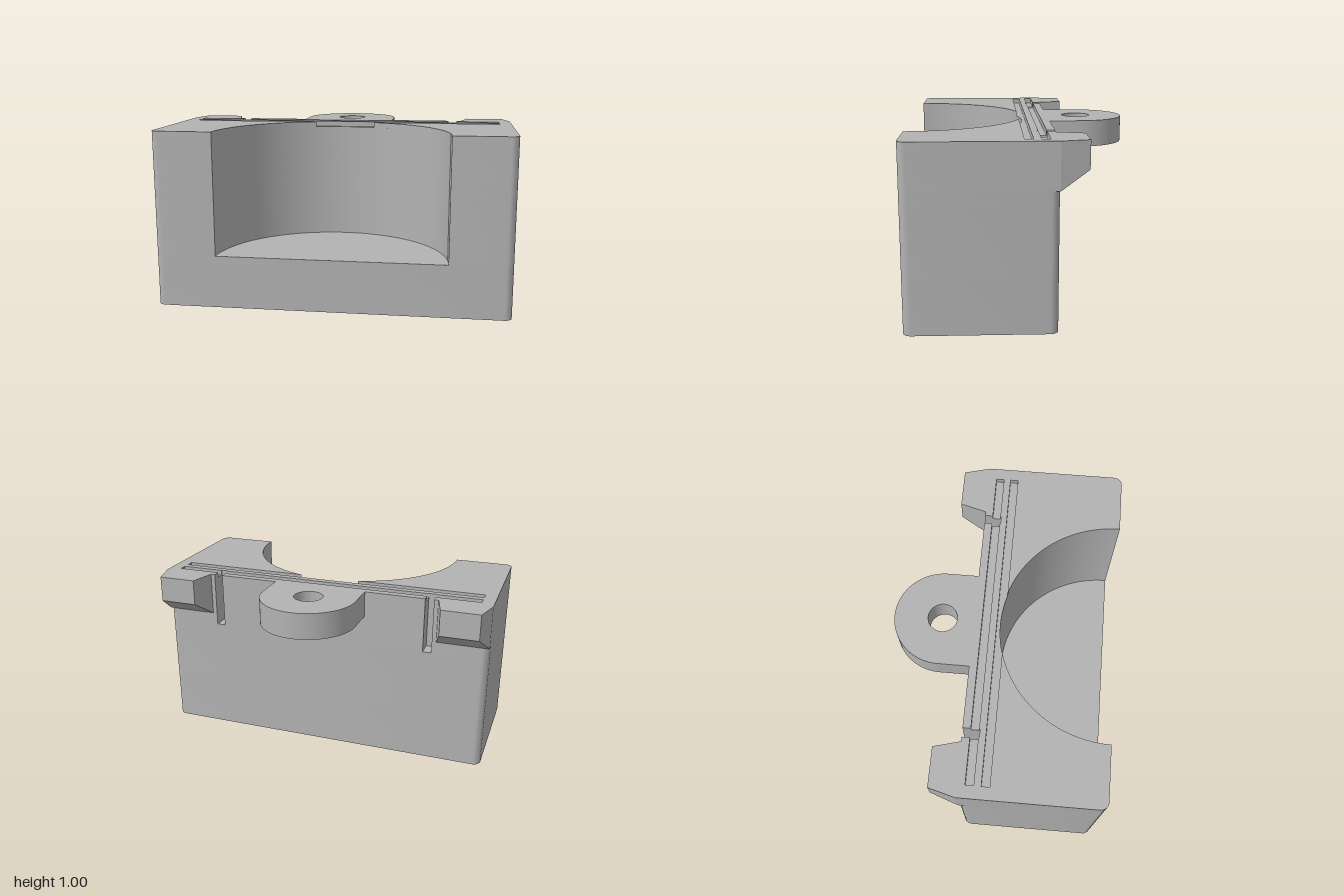
import * as THREE from 'three';
import { toCreasedNormals } from 'three/addons/utils/BufferGeometryUtils.js';

const BACK = -0.175, FRONT = 0.625, R = 0.045, POCKET_R = 0.65;

// Points along an arc in the x/z plan
function arc(cx, cz, r, a0, a1, n) {
  return Array.from({ length: n + 1 }, (_, i) => {
    const a = a0 + (a1 - a0) * i / n;
    return [cx + r * Math.cos(a), cz + r * Math.sin(a)];
  });
}

// Extrude a plan shape (x, -z) from y0 up to y1
function extrudeUp(shape, y0, y1, curveSegments = 48) {
  const g = new THREE.ExtrudeGeometry(shape, { depth: y1 - y0, bevelEnabled: false, curveSegments });
  g.rotateX(-Math.PI / 2);
  g.translate(0, y0, 0);
  return toCreasedNormals(g, 0.5);
}

// Mirror the +x half of a plan outline into a closed shape
function mirroredShape(half) {
  const other = half.filter(p => p[0] > 1e-6).map(([x, z]) => [-x, z]).reverse();
  return new THREE.Shape([...half, ...other].map(([x, z]) => new THREE.Vector2(x, -z)));
}

// Half plan of the block at one level
function blockHalf({ pocket, slots, squareBack, grooves }) {
  const pts = [];
  if (grooves) {
    // front groove, open into the pocket
    pts.push([0, -0.045], [0.93, -0.045], [0.93, 0]);
    pts.push(...arc(0, FRONT, POCKET_R, -Math.acos(0) + Math.acos(FRONT / POCKET_R), 0, 40));
  } else if (pocket) {
    pts.push(...arc(0, FRONT, POCKET_R, -Math.PI / 2, 0, 48));
  } else {
    pts.push([0, FRONT]);
  }
  pts.push(...arc(1 - R, FRONT - R, R, Math.PI / 2, 0, 8));
  if (squareBack) pts.push([1, BACK]);
  else pts.push(...arc(1 - R, BACK + R, R, 0, -Math.PI / 2, 8));
  if (slots) pts.push([0.675, BACK]);
  if (grooves) pts.push([0.675, -0.13], [0.93, -0.13], [0.93, -0.085], [0.675, -0.085]);
  if (slots) pts.push([0.675, -0.08], [0.625, -0.08]);
  if (grooves) pts.push([0.625, -0.085], [0, -0.085]);
  else {
    if (slots) pts.push([0.625, BACK]);
    pts.push([0, BACK]);
  }
  return pts;
}

export function createModel() {
  const model = new THREE.Group();
  model.name = 'mountingBlock';
  const grey = new THREE.MeshStandardMaterial({ color: 0xb3b3b3 });
  grey.name = 'grey';
  const add = (name, geometry, parent = model) => {
    const m = new THREE.Mesh(geometry, grey);
    m.name = name;
    parent.add(m);
    return m;
  };

  // Block, stacked by level: base, pocket, slots, square corners, grooves
  const block = new THREE.Group();
  block.name = 'block';
  model.add(block);
  const levels = [
    ['base', 0, 0.3, {}],
    ['pocketWall', 0.3, 0.68, { pocket: true }],
    ['slottedWall', 0.68, 0.75, { pocket: true, slots: true }],
    ['upperWall', 0.75, 0.97, { pocket: true, slots: true, squareBack: true }],
    ['groovedRim', 0.97, 1, { pocket: true, slots: true, squareBack: true, grooves: true }],
  ];
  for (const [name, y0, y1, features] of levels) {
    add(name, extrudeUp(mirroredShape(blockHalf(features)), y0, y1), block);
  }

  // Land between the rear groove and the back wall
  const land = new THREE.BoxGeometry(1.25, 0.03, 0.045);
  land.translate(0, 0.985, BACK + 0.0225);
  add('rearLand', land, block);

  // Rounded tab with a hole
  const tab = new THREE.Shape();
  tab.moveTo(0.275, -BACK);
  tab.lineTo(0.275, 0.35);
  tab.absarc(0, 0.35, 0.275, 0, Math.PI, false);
  tab.lineTo(-0.275, -BACK);
  tab.closePath();
  const hole = new THREE.Path();
  hole.absarc(0, 0.352, 0.083, 0, Math.PI * 2, true);
  tab.holes.push(hole);
  add('tab', extrudeUp(tab, 0.85, 1, 32));

  // Tapered ears at the back corners
  const depth = 0.15;
  for (const side of [-1, 1]) {
    const g = new THREE.BoxGeometry(0.3, 0.25, depth);
    const p = g.attributes.position;
    for (let i = 0; i < p.count; i++) {
      if (p.getZ(i) > 0) continue;
      p.setX(i, p.getX(i) * 0.22 / 0.3);
      if (p.getY(i) < 0) p.setY(i, p.getY(i) + 0.1);
    }
    g.computeVertexNormals();
    g.translate(side * 0.85, 0.875, BACK - depth / 2);
    add(side > 0 ? 'leftEar' : 'rightEar', g);
  }
  return model;
}
